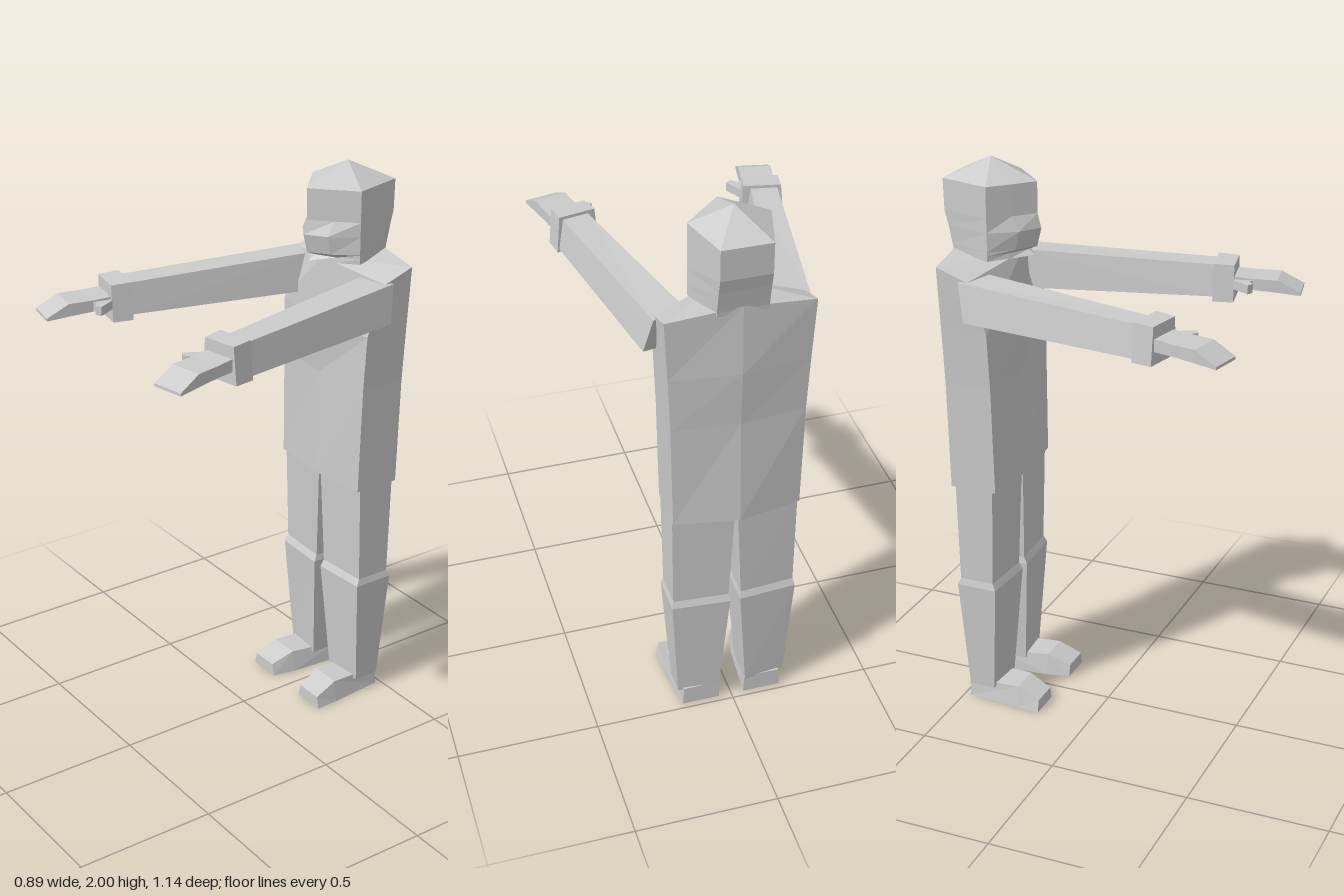
import * as THREE from 'three';

const material = new THREE.MeshStandardMaterial({ color: 0xcccccc, flatShading: true });

// Closed skin over cross-sections of equal point count; always wound outward.
function loft(name, rings, side = 1) {
  const n = rings[0].length;
  const tris = [];
  for (let i = 0; i < rings.length - 1; i++) {
    for (let j = 0; j < n; j++) {
      const k = (j + 1) % n;
      const [a, b, c, d] = [rings[i][j], rings[i][k], rings[i + 1][k], rings[i + 1][j]];
      tris.push([a, b, c], [a, c, d]);
    }
  }
  const first = rings[0], last = rings[rings.length - 1];
  for (let j = 1; j < n - 1; j++) {
    tris.push([first[0], first[j + 1], first[j]], [last[0], last[j], last[j + 1]]);
  }
  const faces = tris.map(t => t.map(p => new THREE.Vector3(p[0] * side, p[1], p[2])));
  const origin = faces[0][0].clone();
  let volume = 0;
  for (const [a, b, c] of faces) {
    volume += a.clone().sub(origin).dot(b.clone().sub(origin).cross(c.clone().sub(origin)));
  }
  const points = faces.flatMap(([a, b, c]) => (volume < 0 ? [a, c, b] : [a, b, c]));
  const geometry = new THREE.BufferGeometry().setFromPoints(points);
  geometry.computeVertexNormals();
  const mesh = new THREE.Mesh(geometry, material);
  mesh.name = name;
  return mesh;
}

// Six-sided body section with a ridge down the front and the back
function bodyRing(y, w, frontMid, front, back, backMid, yFrontMid = y, yBack = y, yBackMid = y) {
  return [
    [0, yFrontMid, frontMid], [w, y, front], [w, yBack, back],
    [0, yBackMid, backMid], [-w, yBack, back], [-w, y, front],
  ];
}

// Head section: pointed face, cheeks, temples and a flat back
function headRing(y, nose, cheek, back) {
  return [
    [0, y, nose], [0.07, y, cheek], [0.135, y, -0.385], [0.085, y, back],
    [-0.085, y, back], [-0.135, y, -0.385], [-0.07, y, cheek],
  ];
}

// Leg section, the inner edge slightly deeper than the outer
function legRing(y, inner, outer, front, back) {
  return [
    [inner, y, front], [outer, y, front - 0.012],
    [outer, y, back + 0.015], [inner, y, back],
  ];
}

// Foot section across z
function footRing(z, inner, outer, top, bevel) {
  return [
    [inner, 0, z], [outer, 0, z],
    [outer - bevel, top, z], [inner + bevel, top, z],
  ];
}

// Flat four-cornered section across the hand
function handRing(z, w, bottom, top, bevel = 0) {
  return [[-w, bottom, z], [w, bottom, z], [w - bevel, top, z], [-w + bevel, top, z]];
}

function createLimbs(side) {
  const prefix = side > 0 ? 'left' : 'right';
  const limbs = new THREE.Group();
  limbs.name = prefix + 'Limbs';

  // Leg with a small step at the knee
  limbs.add(loft(prefix + 'Leg', [
    legRing(0.88, 0.004, 0.219, -0.335, -0.505),
    legRing(0.50, 0.022, 0.215, -0.345, -0.498),
    legRing(0.475, 0.018, 0.221, -0.333, -0.508),
    legRing(0.06, 0.05, 0.195, -0.36, -0.482),
  ], side));

  // Foot, turned slightly outward
  limbs.add(loft(prefix + 'Foot', [
    footRing(-0.478, 0.045, 0.18, 0.07, 0.004),
    footRing(-0.28, 0.062, 0.197, 0.08, 0.012),
    footRing(-0.195, 0.08, 0.2, 0.045, 0.01),
  ], side));

  // Arm reaching forward
  limbs.add(loft(prefix + 'Arm', [
    [[0.135, 1.50, -0.38], [0.285, 1.50, -0.405], [0.258, 1.63, -0.435], [0.15, 1.635, -0.38]],
    [[0.275, 1.51, 0.28], [0.398, 1.51, 0.26], [0.38, 1.62, 0.26], [0.29, 1.62, 0.28]],
  ], side));

  // Cuff, palm, fingers and thumb, built along the forearm's own z axis
  const hand = new THREE.Group();
  hand.name = prefix + 'Hand';
  hand.position.set(0.335 * side, 1.565, 0.3);
  hand.rotation.y = 0.2 * side;
  hand.add(loft(prefix + 'Cuff', [
    handRing(-0.036, 0.077, -0.066, 0.066, 0.012),
    handRing(0.036, 0.074, -0.066, 0.063, 0.012),
  ], side));
  hand.add(loft(prefix + 'Palm', [
    handRing(0.02, 0.056, -0.022, 0.022),
    handRing(0.1, 0.057, -0.022, 0.018),
    handRing(0.185, 0.058, -0.026, 0.018),
    handRing(0.265, 0.058, -0.032, -0.022),
  ], side));
  const thumb = [[-0.045, 0.03], [-0.066, 0.033], [-0.112, 0.09], [-0.094, 0.105],
    [-0.072, 0.092], [-0.045, 0.105]];
  hand.add(loft(prefix + 'Thumb', [-0.02, 0.012].map(y => thumb.map(([x, z]) => [x, y, z])), side));
  limbs.add(hand);
  return limbs;
}

export function createModel() {
  const model = new THREE.Group();
  model.name = 'figure';

  // Long straight-sided coat, shoulders sloping up to the back
  model.add(loft('torso', [
    bodyRing(0.86, 0.22, -0.315, -0.335, -0.505, -0.545),
    bodyRing(1.25, 0.228, -0.325, -0.34, -0.51, -0.535),
    bodyRing(1.45, 0.237, -0.307, -0.345, -0.515, -0.546),
    bodyRing(1.63, 0.249, -0.325, -0.405, -0.52, -0.54, 1.675, 1.67, 1.7),
  ]));

  // Neck
  model.add(loft('neck', [1.62, 1.69].map(y =>
    [[0, y, -0.33], [0.085, y, -0.4], [0.07, y, -0.53], [-0.07, y, -0.53], [-0.085, y, -0.4]])));

  // Head with a bulging lower face and a low pointed crown
  model.add(loft('head', [
    headRing(1.672, -0.27, -0.33, -0.535),
    headRing(1.69, -0.295, -0.335, -0.537),
    headRing(1.705, -0.262, -0.31, -0.54),
    headRing(1.77, -0.246, -0.295, -0.554),
    headRing(1.82, -0.259, -0.322, -0.567),
    headRing(1.93, -0.259, -0.322, -0.57),
    Array.from({ length: 7 }, () => [0, 2, -0.43]),
  ]));

  model.add(createLimbs(1), createLimbs(-1));
  return model;
}
